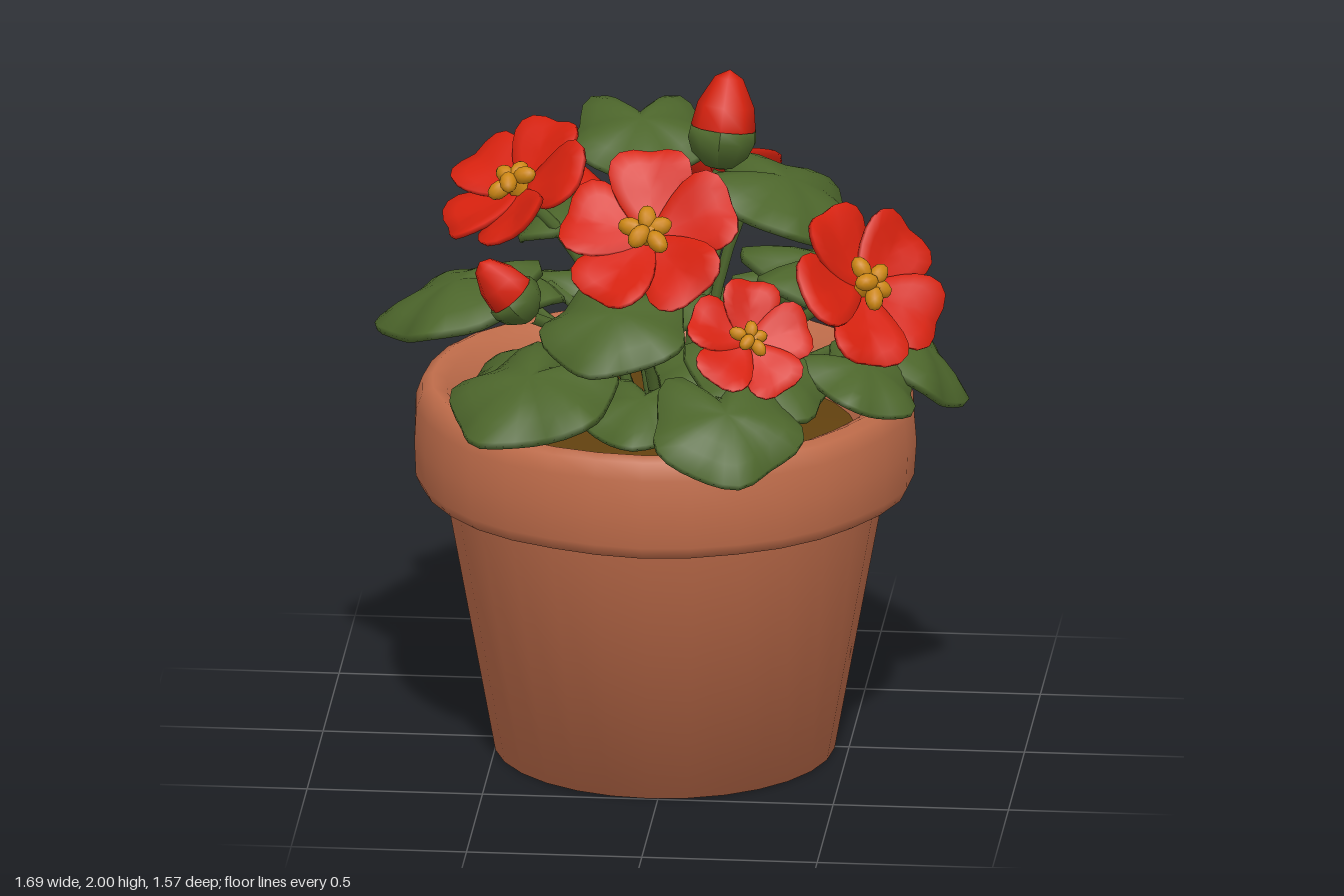
import * as THREE from 'three';

const mat = (name, color) => {
  const m = new THREE.MeshStandardMaterial({ color });
  m.name = name;
  return m;
};

const UP = new THREE.Vector3(0, 1, 0);

// Thin closed sheet: outline(angle) scaled about a centre, lifted by height(x, z, s)
function sheet(outline, cx, height, thick, N = 30, R = 4) {
  const pos = [], idx = [];
  for (const side of [0, 1]) {
    const put = (x, z, s) => pos.push(x, height(x, z, s) - side * thick * (1 - 0.4 * s * s), z);
    put(cx, 0, 0);
    for (let k = 1; k <= R; k++) for (let j = 0; j < N; j++) {
      const [x, z] = outline((j / N) * Math.PI * 2 - Math.PI);
      const s = k / R;
      put(cx + (x - cx) * s, z * s, s);
    }
  }
  const half = 1 + N * R;
  const at = (side, k, j) => side * half + 1 + (k - 1) * N + (j % N);
  const tri = (side, a, b, c) => (side ? idx.push(a, c, b) : idx.push(a, b, c));
  for (let j = 0; j < N; j++) {
    for (const s of [0, 1]) {
      tri(s, s * half, at(s, 1, j + 1), at(s, 1, j));
      for (let k = 1; k < R; k++) {
        const a = at(s, k, j), b = at(s, k, j + 1), c = at(s, k + 1, j), d = at(s, k + 1, j + 1);
        tri(s, a, b, d);
        tri(s, a, d, c);
      }
    }
    const c = at(0, R, j), d = at(0, R, j + 1), C = at(1, R, j), D = at(1, R, j + 1);
    idx.push(c, d, D, c, D, C);
  }
  const g = new THREE.BufferGeometry();
  g.setAttribute('position', new THREE.Float32BufferAttribute(pos, 3));
  g.setIndex(idx);
  g.computeVertexNormals();
  return g;
}

const lathe = (pts, n) => new THREE.LatheGeometry(pts.map(p => new THREE.Vector2(...p)), n);

export function createModel() {
  const model = new THREE.Group();
  model.name = 'pottedFlowers';

  const clay = mat('terracotta', 0xbf6c4a);
  const green = mat('leafGreen', 0x4c652b);
  const red = mat('petalRed', 0xd5210e);
  const gold = mat('stamenGold', 0xcc8613);
  const earth = mat('soilBrown', 0x62410f);

  const add = (parent, name, geo, material) => {
    const m = new THREE.Mesh(geo, material);
    m.name = name;
    parent.add(m);
    return m;
  };

  // Pot: tapered body, thick rounded rim sloping inwards, soil
  const pot = new THREE.Group();
  pot.name = 'pot';
  pot.position.set(-0.025, 0, 0.01);
  model.add(pot);
  add(pot, 'potBody', lathe([[0, 0], [0.485, 0], [0.63, 0.8], [0.66, 0.81]], 28), clay);
  const rim = lathe([[0.56, 0.81], [0.62, 0.79], [0.69, 0.795], [0.708, 0.83], [0.715, 0.93],
    [0.71, 1.03], [0.69, 1.08], [0.66, 1.093], [0.62, 1.075], [0.57, 1.0], [0.53, 0.88]], 32);
  const rp = rim.attributes.position;
  for (let i = 0; i < rp.count; i++) {
    const a = Math.atan2(rp.getZ(i), rp.getX(i));
    const k = 1 + 0.006 * Math.sin(a * 5 + rp.getY(i) * 9) + 0.005 * Math.sin(a * 9);
    rp.setXYZ(i, rp.getX(i) * k, rp.getY(i), rp.getZ(i) * k);
  }
  add(pot, 'potRim', rim, clay);
  add(pot, 'soil', lathe([[0.57, 0.93], [0.35, 0.95], [0, 0.97]], 24), earth);

  // Curved stem from the soil to a point
  const stem = (end, radius = 0.017) => {
    const root = new THREE.Vector3(end.x * 0.25, 0.93, end.z * 0.25);
    const mid = new THREE.Vector3(end.x * 0.45, 0.3 + end.y * 0.7, end.z * 0.45);
    const curve = new THREE.QuadraticBezierCurve3(root, mid, end);
    add(model, 'stem', new THREE.TubeGeometry(curve, 7, radius, 6), green);
  };

  // Leaves: scalloped, domed, notched where the stem meets them
  const leafGeo = sheet(a => {
    const notch = 1 - 0.4 * Math.exp(-(((Math.PI - Math.abs(a)) / 0.28) ** 2));
    const r = (0.95 + 0.075 * Math.cos(5 * a) + 0.025 * Math.sin(3 * a)) * notch;
    return [r * Math.cos(a), r * Math.sin(a)];
  }, 0, (x, z, s) => 0.18 - 0.29 * s * s + 0.045 * s * s * Math.cos(5 * Math.atan2(z, x))
    + 0.1 * Math.min(Math.abs(z), 0.3), 0.15);

  // x, y, z, size, heading (degrees from +x towards +z), outward tilt (degrees)
  const leaves = [
    [-0.2, 1.2, -0.57, 0.25, 250, 24],
    [-0.61, 1.32, -0.02, 0.255, 180, 17],
    [-0.11, 1.77, -0.2, 0.21, 80, 16],
    [0.31, 1.66, -0.02, 0.245, 10, 20],
    [0.36, 1.22, -0.44, 0.24, 310, 18],
    [0.67, 1.19, -0.04, 0.22, 355, 38],
    [0.2, 1.17, 0.59, 0.22, 72, 30],
    [-0.36, 1.21, 0.47, 0.25, 125, 18],
    [-0.13, 1.4, 0.42, 0.215, 105, 20],
    [-0.29, 1.54, -0.17, 0.21, 205, 22],
    [0.42, 1.37, -0.14, 0.26, 340, 16],
    [-0.08, 1.36, 0.12, 0.21, 150, 10],
    [0.28, 1.24, 0.32, 0.22, 45, 20],
    [-0.42, 1.28, -0.2, 0.21, 215, 16],
    [-0.03, 1.5, -0.4, 0.2, 275, 22],
    [0.56, 1.2, 0.22, 0.18, 25, 24],
    [0.14, 1.2, 0.2, 0.19, 60, 12],
    [0.1, 1.22, -0.32, 0.2, 290, 14],
    [-0.4, 1.18, 0.2, 0.2, 165, 16],
    [-0.05, 1.14, 0.4, 0.18, 95, 14],
  ];
  leaves.forEach(([x, y, z, size, heading, tilt]) => {
    const leaf = add(model, 'leaf', leafGeo, green);
    const h = THREE.MathUtils.degToRad(heading);
    leaf.rotation.set(0, -h, -THREE.MathUtils.degToRad(tilt), 'YXZ');
    leaf.scale.setScalar(size);
    leaf.position.set(x, y, z);
    leaf.updateMatrix();
    stem(new THREE.Vector3(-0.3, 0.04, 0).applyMatrix4(leaf.matrix));
  });

  // Flowers: five broad overlapping petals, a calyx and a cluster of stamens
  const petalGeo = sheet(a => {
    const tip = 0.07 * Math.exp(-((a / 0.35) ** 2));
    return [0.53 + 0.5 * Math.cos(a) - tip, 0.56 * Math.sin(a) * (0.76 + 0.34 * Math.cos(a))];
  }, 0.5, (x, z) => 0.32 * x * x - 0.22 * x ** 4 + 0.2 * Math.abs(z) * x - 0.02, 0.11, 20, 3);
  const stamenGeo = new THREE.IcosahedronGeometry(0.13, 1);
  const calyxGeo = lathe([[0, -0.28], [0.08, -0.25], [0.24, -0.1], [0, -0.06]], 8);

  // position, facing, radius, spin
  const flowers = [
    [[-0.04, 1.62, 0.29], [-0.14, 0.68, 0.71], 0.26, 0.3],
    [[-0.44, 1.655, 0.01], [-0.48, 0.78, 0.36], 0.24, 0.9],
    [[0.56, 1.45, 0.19], [0.6, 0.56, 0.56], 0.25, 0.1],
    [[0.255, 1.37, 0.46], [0.28, 0.65, 0.7], 0.185, 0.5],
    [[0.13, 1.48, -0.55], [0.25, 0.7, -0.67], 0.235, 1.0],
  ];
  flowers.forEach(([p, n, size, spin]) => {
    const flower = new THREE.Group();
    flower.name = 'flower';
    flower.position.set(...p);
    flower.quaternion.setFromUnitVectors(UP, new THREE.Vector3(...n).normalize());
    flower.rotateY(spin);
    flower.scale.setScalar(size);
    model.add(flower);
    for (let i = 0; i < 5; i++) {
      const petal = add(flower, 'petal', petalGeo, red);
      petal.rotation.set(0.12, i * Math.PI * 0.4, 0.05 * (i % 2), 'YXZ');
    }
    add(flower, 'calyx', calyxGeo, green);
    add(flower, 'pistil', new THREE.CylinderGeometry(0.1, 0.13, 0.24, 6), gold).position.y = 0.11;
    for (let i = 0; i < 5; i++) {
      const a = i * 1.257, r = i % 2 ? 0.2 : 0.13;
      const s = add(flower, 'stamen', stamenGeo, gold);
      s.position.set(r * Math.cos(a), 0.14 + 0.05 * (i % 3), r * Math.sin(a));
      s.rotation.y = -a;
      s.scale.set(1.15, 0.85, 0.8);
    }
    flower.updateMatrix();
    stem(new THREE.Vector3(0, -0.22, 0).applyMatrix4(flower.matrix));
  });

  // Buds: pointed red tip in a green cup with a jagged edge
  const tipGeo = lathe([[0, 0.1], [0.27, 0.25], [0.32, 0.42], [0.28, 0.65], [0.14, 0.92], [0, 1]], 8);
  const cupGeo = lathe([[0, 0], [0.14, 0.03], [0.29, 0.16], [0.345, 0.3], [0.33, 0.42], [0.24, 0.37]], 10);
  const cp = cupGeo.attributes.position;
  for (let i = 0; i < cp.count; i++) {
    const a = Math.atan2(cp.getZ(i), cp.getX(i));
    if (cp.getY(i) > 0.35) cp.setY(i, cp.getY(i) + 0.1 * Math.cos(5 * a));
  }
  cupGeo.computeVertexNormals();

  // base, direction, length
  const buds = [
    [[0.125, 1.715, -0.03], [0.1, 1, -0.17], 0.29],
    [[-0.38, 1.35, 0.25], [-0.62, 0.72, 0.12], 0.23],
    [[-0.25, 1.36, -0.4], [-0.35, 0.72, -0.55], 0.24],
  ];
  buds.forEach(([p, d, len]) => {
    const bud = new THREE.Group();
    bud.name = 'bud';
    bud.position.set(...p);
    bud.quaternion.setFromUnitVectors(UP, new THREE.Vector3(...d).normalize());
    bud.scale.setScalar(len);
    model.add(bud);
    add(bud, 'budTip', tipGeo, red);
    add(bud, 'budCup', cupGeo, green);
    stem(new THREE.Vector3(...p));
  });

  return model;
}
